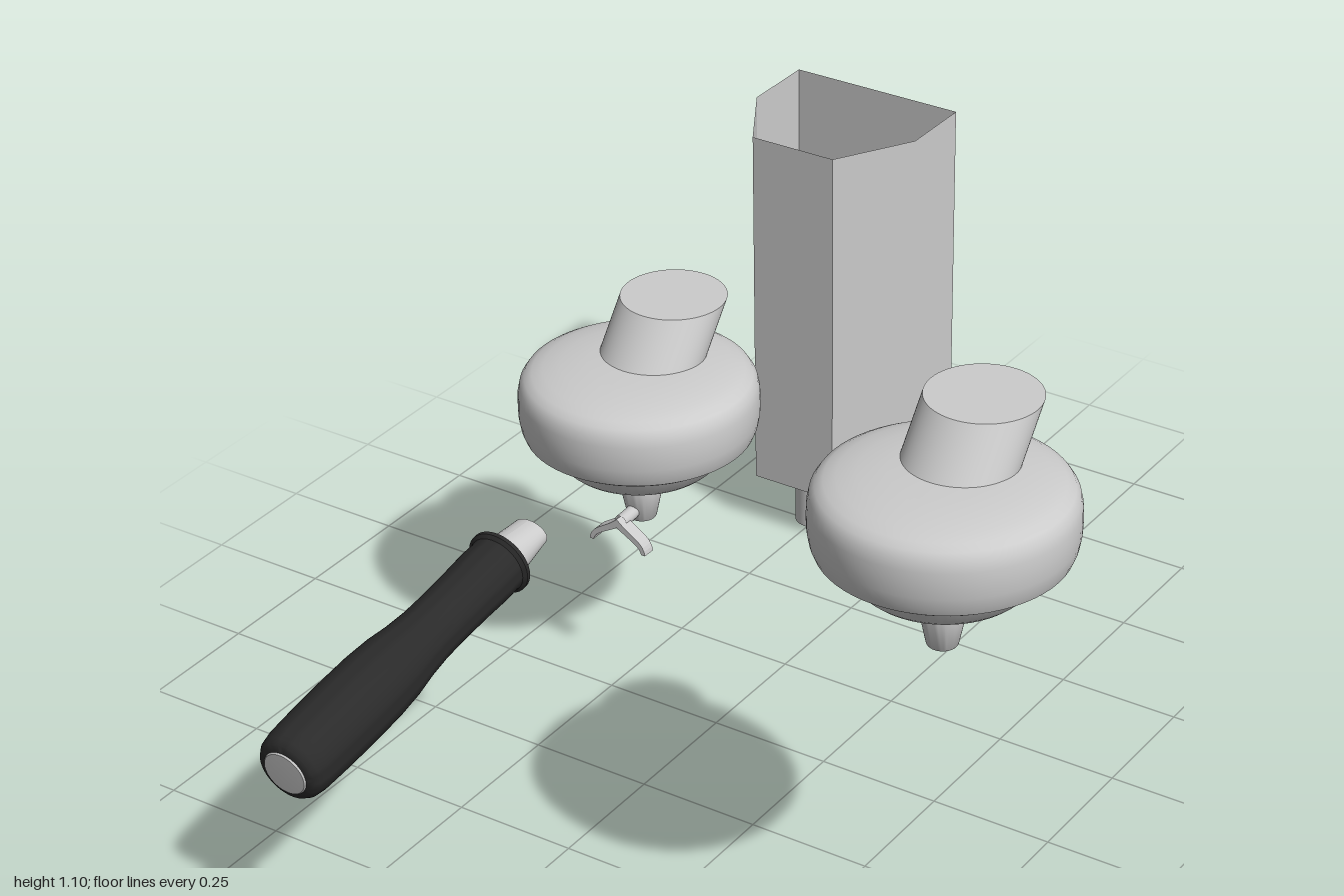
import * as THREE from 'three';
import { toCreasedNormals } from 'three/addons/utils/BufferGeometryUtils.js';

const grey = new THREE.MeshStandardMaterial({ color: 0xcccccc });
const greyThin = new THREE.MeshStandardMaterial({ color: 0xcccccc, side: THREE.DoubleSide });
const black = new THREE.MeshStandardMaterial({ color: 0x2a2a2a });

function mesh(name, geometry, material = grey) {
  const m = new THREE.Mesh(geometry, material);
  m.name = name;
  return m;
}

// Lathe from [radius, height] pairs listed bottom to top, with sharp creases kept
function lathe(points, segments = 64) {
  const g = new THREE.LatheGeometry(points.map(([r, y]) => new THREE.Vector2(r, y)), segments);
  return toCreasedNormals(g, 0.6);
}

// Grinding head: rounded bowl, slanted neck and small nozzle; origin at nozzle tip
function createHead(name) {
  const head = new THREE.Group();
  head.name = name;

  head.add(mesh('bowl', lathe([
    [0, 0.19], [0.185, 0.19], [0.216, 0.192], [0.225, 0.198], [0.231, 0.213], [0.235, 0.235],
    [0.236, 0.26], [0.235, 0.285], [0.231, 0.304], [0.222, 0.318], [0.207, 0.327],
    [0.185, 0.334], [0.15, 0.341], [0.1, 0.346], [0, 0.348],
  ])));
  head.add(mesh('lowerDish', lathe([
    [0, 0.104], [0.045, 0.107], [0.09, 0.115], [0.125, 0.123], [0.147, 0.131], [0.156, 0.139],
    [0.182, 0.185], [0.186, 0.195],
  ])));
  head.add(mesh('nozzle', lathe([
    [0, 0], [0.027, 0], [0.029, 0.003], [0.042, 0.066], [0.041, 0.074], [0.031, 0.079], [0.031, 0.112],
  ], 40)));

  // Neck: upright cylinder sheared towards the back
  const neck = new THREE.CylinderGeometry(0.105, 0.105, 0.135, 64);
  neck.translate(0, 0.3675, 0);
  const shear = new THREE.Matrix4().set(
    1, 0, 0, 0,
    0, 1, 0, 0,
    0, -0.8, 1, 0.8 * 0.435 - 0.125,
    0, 0, 0, 1);
  neck.applyMatrix4(shear);
  head.add(mesh('slantedNeck', neck));
  return head;
}

// Twin spout: short stem and an arched strip that runs down to both sides
function createSpout() {
  const spout = new THREE.Group();
  spout.name = 'twinSpout';

  const path = new THREE.CatmullRomCurve3([
    new THREE.Vector3(0, 0.035, -0.07), new THREE.Vector3(0, 0.022, -0.045), new THREE.Vector3(0, 0.018, 0),
  ]);
  spout.add(mesh('spoutStem', new THREE.TubeGeometry(path, 12, 0.014, 16), greyThin));

  const s = new THREE.Shape();
  s.moveTo(-0.066, -0.032);
  s.bezierCurveTo(-0.062, 0.0, -0.03, 0.002, 0, 0.031);
  s.bezierCurveTo(0.03, 0.002, 0.062, 0.0, 0.066, -0.032);
  s.lineTo(0.057, -0.032);
  s.bezierCurveTo(0.052, -0.012, 0.025, -0.006, 0, 0.012);
  s.bezierCurveTo(-0.025, -0.006, -0.052, -0.012, -0.057, -0.032);
  const arch = new THREE.ExtrudeGeometry(s, { depth: 0.028, bevelEnabled: false, curveSegments: 10 });
  arch.translate(0, 0, -0.014);
  spout.add(mesh('spoutArms', arch));
  return spout;
}

// Handle: built along +y from the grip end to the metal tip
function createHandle() {
  const handle = new THREE.Group();
  handle.name = 'handle';

  handle.add(mesh('grip', lathe([
    [0, 0.004], [0.05, 0], [0.06, 0.005], [0.067, 0.016], [0.071, 0.04], [0.073, 0.1], [0.074, 0.18],
    [0.073, 0.26], [0.069, 0.32], [0.062, 0.37], [0.058, 0.42], [0.057, 0.48], [0.058, 0.55],
    [0.06, 0.61], [0.059, 0.64], [0.06, 0.648], [0.067, 0.654], [0.067, 0.662], [0.06, 0.666], [0, 0.666],
  ], 48), black));

  const cap = lathe([[0, -0.004], [0.044, -0.003], [0.048, 0.003]], 48);
  handle.add(mesh('endCap', cap));

  // Metal tip flattens towards its end
  const tip = new THREE.CylinderGeometry(0.038, 0.047, 0.1, 32, 4);
  tip.translate(0, 0.71, 0);
  const p = tip.attributes.position;
  for (let i = 0; i < p.count; i++) {
    const t = (p.getY(i) - 0.66) / 0.1;
    p.setZ(i, p.getZ(i) * (1 - 0.27 * t));
  }
  tip.computeVertexNormals();
  handle.add(mesh('metalTip', tip));
  return handle;
}

// Hopper: open-topped six-sided bin with an outlet pipe below
function createHopper() {
  const hopper = new THREE.Group();
  hopper.name = 'hopper';
  const low = 0.115, high = 0.905;
  const outline = [[-0.19, -1], [0.19, -1], [0.19, -0.84], [0.095, -0.68], [-0.095, -0.68], [-0.19, -0.84]];

  const walls = [];
  outline.forEach(([x0, z0], i) => {
    const [x1, z1] = outline[(i + 1) % outline.length];
    walls.push(x0, low, z0, x0, high, z0, x1, high, z1, x0, low, z0, x1, high, z1, x1, low, z1);
  });
  const wallGeometry = new THREE.BufferGeometry();
  wallGeometry.setAttribute('position', new THREE.Float32BufferAttribute(walls, 3));
  wallGeometry.computeVertexNormals();
  hopper.add(mesh('hopperWalls', wallGeometry, greyThin));

  const floor = new THREE.ShapeGeometry(new THREE.Shape(outline.map(([x, z]) => new THREE.Vector2(x, z))));
  floor.rotateX(Math.PI / 2);
  floor.translate(0, low, 0);
  hopper.add(mesh('hopperFloor', floor, greyThin));

  const pipe = new THREE.CylinderGeometry(0.043, 0.043, low, 40, 1, true);
  pipe.translate(0, low / 2, -0.765);
  hopper.add(mesh('outletPipe', pipe, greyThin));
  return hopper;
}

export function createModel() {
  const model = new THREE.Group();
  model.name = 'coffeeGrinderParts';

  const plainHead = createHead('plainHead');
  plainHead.position.set(0.502, 0.669, 0.408);

  const spoutedHead = createHead('spoutedHead');
  spoutedHead.position.set(-0.505, 0.331, -0.128);
  const spout = createSpout();
  spout.position.set(0, 0.002, 0.074);
  spoutedHead.add(spout);

  const handle = createHandle();
  handle.position.set(-0.505, 0.362, 0.989);
  handle.rotation.x = -Math.PI / 2 + 0.155;

  const hopper = createHopper();
  hopper.position.x = -0.505;

  model.add(plainHead, spoutedHead, handle, hopper);
  return model;
}
